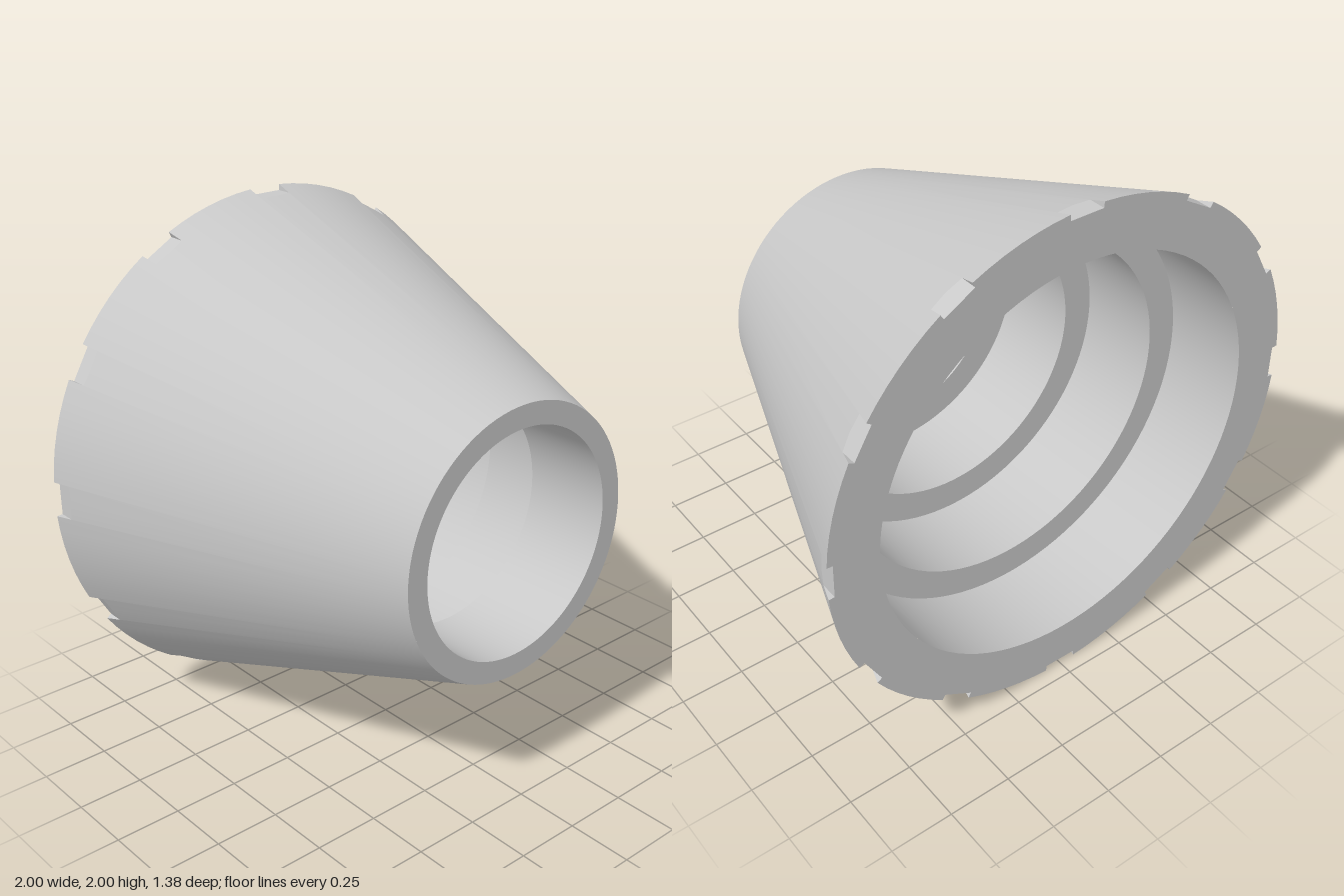
import * as THREE from 'three';
import { toCreasedNormals } from 'three/addons/utils/BufferGeometryUtils.js';

const HALF = 0.69;          // half length along z
const FRONT_R = 0.515;
const BACK_R = 1.0;
const BORE_R = [0.43, 0.555, 0.68, 0.80]; // front to back
const NOTCHES = 12;
const NOTCH_HALF = 0.068;   // half angle of a notch
const FLOOR_R = 0.975;      // distance of the flat notch floor from the axis

// z at which the cone has the given radius
const coneZ = (r) => HALF - (2 * HALF * (r - FRONT_R)) / (BACK_R - FRONT_R);
const at = (angle, r, z) => [r * Math.cos(angle), r * Math.sin(angle), z];

function surface(build) {
  const positions = [];
  const tri = (...corners) => corners.forEach((p) => positions.push(...p));
  const quad = (a, b, c, d) => { tri(a, b, c); tri(a, c, d); };
  build(tri, quad);
  const geometry = new THREE.BufferGeometry();
  geometry.setAttribute('position', new THREE.Float32BufferAttribute(positions, 3));
  return toCreasedNormals(geometry, 0.28);
}

// Angular slices around the rim, alternating notch and tooth
function rimSlices() {
  const slices = [];
  const pitch = (2 * Math.PI) / NOTCHES;
  for (let n = 0; n < NOTCHES; n++) {
    const add = (from, to, steps, notch) => {
      for (let i = 0; i < steps; i++) {
        const step = (to - from) / steps;
        slices.push({ a: n * pitch + from + i * step, b: n * pitch + from + (i + 1) * step,
          ra: FLOOR_R / Math.cos(from + i * step), rb: FLOOR_R / Math.cos(from + (i + 1) * step), notch });
      }
    };
    add(-NOTCH_HALF, NOTCH_HALF, 2, true);
    add(NOTCH_HALF, pitch - NOTCH_HALF, 6, false);
  }
  return slices;
}

export function createModel() {
  const group = new THREE.Group();
  const grey = new THREE.MeshStandardMaterial({ color: 0xc8c8c8 });
  grey.name = 'plain grey';
  const slices = rimSlices();
  const add = (name, geometry) => {
    const mesh = new THREE.Mesh(geometry, grey);
    mesh.name = name;
    mesh.position.y = 1;
    group.add(mesh);
  };

  // Tapered outside, cut short where a notch begins
  add('outerCone', surface((tri, quad) => {
    for (const { a, b, ra, rb, notch } of slices) {
      const r0 = notch ? ra : BACK_R, r1 = notch ? rb : BACK_R;
      quad(at(a, FRONT_R, HALF), at(a, r0, coneZ(r0)), at(b, r1, coneZ(r1)), at(b, FRONT_R, HALF));
    }
  }));

  // Flat floors and side walls of the notches
  add('rimNotches', surface((tri, quad) => {
    for (const { a, b, ra, rb, notch } of slices) {
      if (notch) quad(at(a, ra, coneZ(ra)), at(a, ra, -HALF), at(b, rb, -HALF), at(b, rb, coneZ(rb)));
    }
    const r = FLOOR_R / Math.cos(NOTCH_HALF);
    for (let n = 0; n < NOTCHES; n++) {
      const mid = (n * 2 * Math.PI) / NOTCHES;
      for (const side of [-1, 1]) {
        const t = mid + side * NOTCH_HALF;
        const inner = at(t, r, coneZ(r)), rim = at(t, BACK_R, -HALF), foot = at(t, r, -HALF);
        if (side < 0) tri(inner, rim, foot);
        else tri(inner, foot, rim);
      }
    }
  }));

  // Back face following the notched outline
  add('backRim', surface((tri, quad) => {
    const bore = BORE_R[3];
    for (const { a, b, ra, rb, notch } of slices) {
      quad(at(a, notch ? ra : BACK_R, -HALF), at(a, bore, -HALF),
        at(b, bore, -HALF), at(b, notch ? rb : BACK_R, -HALF));
    }
  }));

  // Front ring and the bore, widening in four equal steps
  const profile = [new THREE.Vector2(FRONT_R, HALF)];
  const depth = (2 * HALF) / BORE_R.length;
  BORE_R.forEach((r, i) => {
    profile.push(new THREE.Vector2(r, HALF - i * depth), new THREE.Vector2(r, HALF - (i + 1) * depth));
  });
  const bore = new THREE.LatheGeometry(profile, 96).rotateX(Math.PI / 2);
  add('steppedBore', toCreasedNormals(bore, 0.5));

  return group;
}
